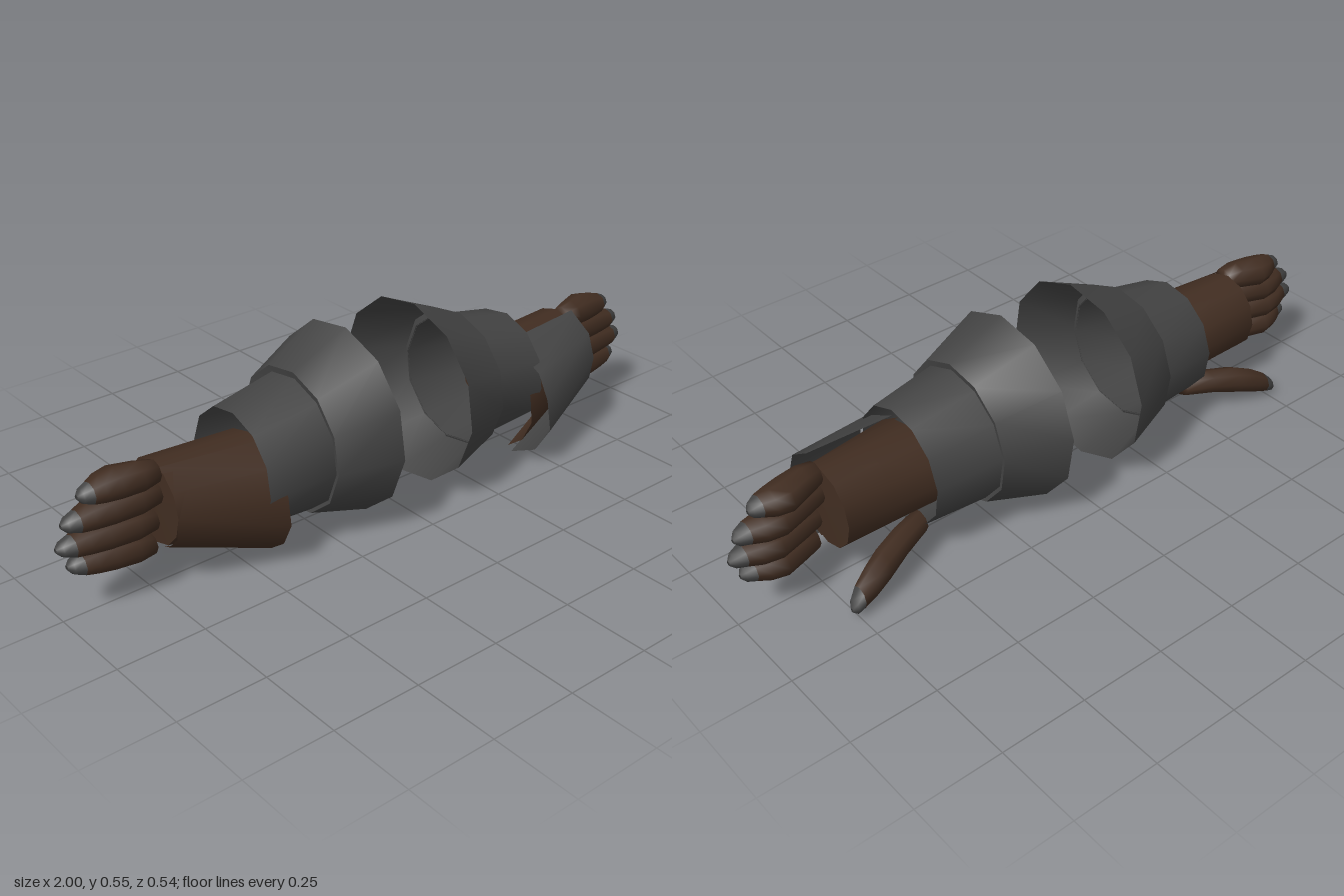
import * as THREE from 'three';

const make = (name, color) => {
  const m = new THREE.MeshStandardMaterial({ color, side: THREE.DoubleSide });
  m.name = name;
  return m;
};

// Skin between rows of points; s = 1 or -1 mirrors the part in x
function skin(name, rows, s, material, closed) {
  const n = rows[0].length;
  const pos = rows.flat().flatMap(([x, y, z]) => [x * s, y, z]);
  const index = [];
  for (let r = 0; r < rows.length - 1; r++) {
    for (let i = 0; i < (closed ? n : n - 1); i++) {
      const j = (i + 1) % n;
      const a = r * n + i, b = r * n + j, c = a + n, d = b + n;
      if (s > 0) index.push(a, b, c, b, d, c);
      else index.push(a, c, b, b, c, d);
    }
  }
  const g = new THREE.BufferGeometry();
  g.setAttribute('position', new THREE.Float32BufferAttribute(pos, 3));
  g.setIndex(index);
  g.computeVertexNormals();
  const mesh = new THREE.Mesh(g, material);
  mesh.name = name;
  return mesh;
}

// Ring of points around the x axis: centre x, y, z and radii in y and z
function ring([x, y, z, ry, rz = ry], sides, phase = 0) {
  return Array.from({ length: sides }, (_, i) => {
    const a = phase + (i / sides) * Math.PI * 2;
    return [x, y + Math.sin(a) * ry, z - Math.cos(a) * rz];
  }).reverse();
}

const tube = (name, sections, sides, s, material, phase) =>
  skin(name, sections.map((c) => ring(c, sides, phase)), s, material, true);

function createModel() {
  const model = new THREE.Group();
  model.name = 'armoredHands';
  const grey = make('dark grey armor', 0x444444);
  const brown = make('dark brown leather', 0x412d21);

  // Edge points [y, z] of the curved plates, wrist end then knuckle end
  const plates = {
    glove: {
      x: [0.435, 0.72],
      wrist: [[0.34, 0.07], [0.29, 0.145], [0.22, 0.18], [0.14, 0.19], [0.07, 0.155], [0.03, 0.1]],
      knuckle: [[0.352, 0.04], [0.3, 0.092], [0.235, 0.112], [0.17, 0.1], [0.13, 0.06], [0.12, 0.03]],
    },
    guard: {
      x: [0.455, 0.72],
      wrist: [[0.355, 0.07], [0.29, 0.19], [0.22, 0.228], [0.13, 0.245], [0.045, 0.19], [0, 0.095]],
      knuckle: [[0.37, 0.06], [0.32, 0.135], [0.25, 0.16], [0.18, 0.148], [0.125, 0.1], [0.11, 0.055]],
    },
  };
  const plate = (name, p, s, material) => skin(name,
    [p.wrist.map(([y, z]) => [p.x[0], y, z]), p.knuckle.map(([y, z]) => [p.x[1], y, z])],
    s, material, false);

  // Fingers: base x, tip x, base y, tip y
  const fingers = [
    [0.72, 0.93, 0.335, 0.328],
    [0.72, 0.98, 0.275, 0.265],
    [0.735, 1.0, 0.205, 0.205],
    [0.745, 0.975, 0.138, 0.147],
  ];

  for (const s of [1, -1]) {
    const arm = new THREE.Group();
    arm.name = s > 0 ? 'leftArm' : 'rightArm';
    const phase = Math.PI * 96 / 180;

    // Flared cuff, its stepped lip and the narrower cuff
    arm.add(
      tube('flaredCuff', [[0.12, 0.278, 0, 0.27], [0.295, 0.265, 0.005, 0.206]], 12, s, grey, phase),
      tube('cuffLip', [[0.295, 0.265, 0.005, 0.206], [0.29, 0.26, 0.005, 0.19]], 12, s, grey, phase),
      tube('innerCuff', [[0.288, 0.26, 0.005, 0.192], [0.485, 0.245, 0.005, 0.17]], 12, s, grey, phase),
    );

    // Hand body with flat knuckle end
    arm.add(
      tube('handBody', [[0.44, 0.225, 0.02, 0.12, 0.13], [0.58, 0.23, 0.01, 0.12, 0.12],
        [0.72, 0.236, 0, 0.118, 0.112]], 12, s, brown),
      tube('knuckleEnd', [[0.72, 0.236, 0, 0.118, 0.112], [0.721, 0.236, 0, 0.001]], 12, s, brown),
      plate('gloveFlare', plates.glove, s, brown),
    );
    if (s > 0) arm.add(plate('handGuard', plates.guard, s, grey));

    // Fingers with grey tips
    for (const [x0, x1, y0, y1] of fingers) {
      const at = (t, ry, rz, z) => [x0 + (x1 - x0) * t, y0 + (y1 - y0) * t, z, ry, rz];
      const tip = at(0.84, 0.03, 0.033, 0.005);
      arm.add(
        tube('finger', [at(0, 0.001, 0.001, 0.02), at(0.01, 0.03, 0.034, 0.02),
          at(0.22, 0.04, 0.045, 0.015), at(0.5, 0.042, 0.054, 0), at(0.7, 0.037, 0.046, 0), tip], 8, s, brown),
        tube('fingerTip', [tip, at(0.95, 0.02, 0.022, 0.003), at(1, 0.006, 0.007, 0)], 8, s, grey),
      );
    }

    // Thumb pointing down and back
    const thumbTip = [0.735, 0.048, -0.158, 0.032, 0.03];
    arm.add(
      tube('thumb', [[0.47, 0.1, -0.065, 0.001], [0.475, 0.1, -0.065, 0.03, 0.035],
        [0.56, 0.095, -0.095, 0.036, 0.04], [0.64, 0.083, -0.128, 0.042, 0.042],
        [0.69, 0.068, -0.146, 0.04, 0.038], thumbTip], 8, s, brown),
      tube('thumbTip', [thumbTip, [0.757, 0.036, -0.166, 0.022], [0.768, 0.03, -0.17, 0.006]], 8, s, grey),
    );
    model.add(arm);
  }
  return model;
}

export { createModel };
